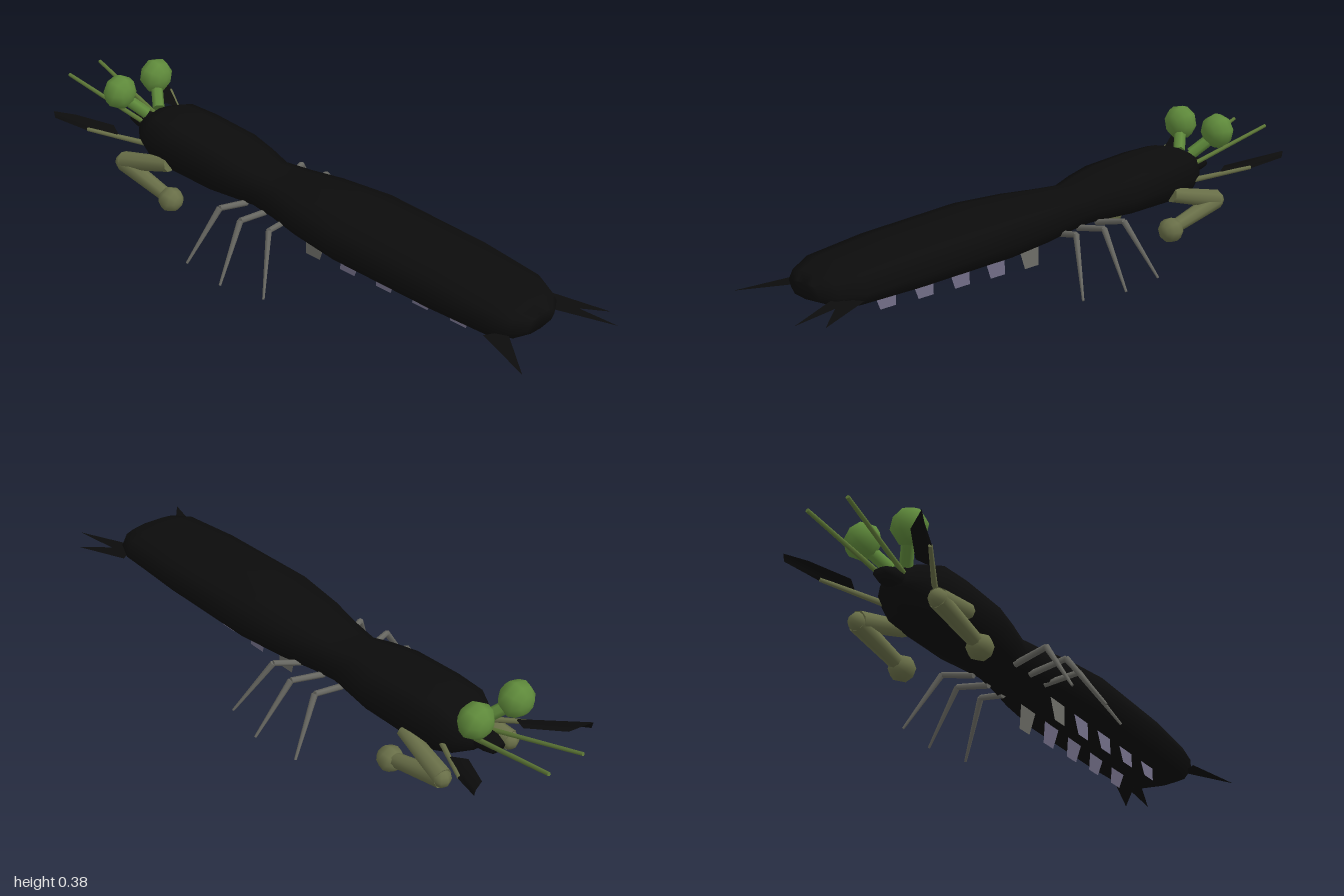
import * as THREE from 'three';

const mat = (name, color, side = THREE.FrontSide) => {
  const m = new THREE.MeshStandardMaterial({ color, side });
  m.name = name;
  return m;
};

export function createModel() {
  const shell = mat('black shell', 0x0c0c0c);
  const blade = mat('black blade', 0x0c0c0c, THREE.DoubleSide);
  const eyeGreen = mat('eye green', 0x5f8a3b);
  const feelerGreen = mat('feeler green', 0x5c7636);
  const olive = mat('claw olive', 0x696f48);
  const grey = mat('leg grey', 0x686862, THREE.DoubleSide);
  const lavender = mat('swimmeret lavender', 0x6c6880, THREE.DoubleSide);

  const group = new THREE.Group();
  const add = (name, geo, material) => {
    const mesh = new THREE.Mesh(geo, material);
    mesh.name = name;
    group.add(mesh);
    return mesh;
  };

  // Tapered rod between two points
  const rod = (name, a, b, ra, rb, material, sides = 6) => {
    const p = new THREE.Vector3(...a), q = new THREE.Vector3(...b);
    const dir = q.clone().sub(p);
    const mesh = add(name, new THREE.CylinderGeometry(rb, ra, dir.length(), sides), material);
    mesh.position.copy(p).add(q).multiplyScalar(0.5);
    mesh.quaternion.setFromUnitVectors(new THREE.Vector3(0, 1, 0), dir.normalize());
    return mesh;
  };

  // Thin flat plate from a fan of corners
  const plate = (name, pts, material) => {
    const geo = new THREE.BufferGeometry();
    geo.setAttribute('position', new THREE.Float32BufferAttribute(pts.flat(), 3));
    const index = [];
    for (let i = 1; i < pts.length - 1; i++) index.push(0, i, i + 1);
    geo.setIndex(index);
    geo.computeVertexNormals();
    return add(name, geo, material);
  };

  // Body loft: stations of [z, half width, bottom, top]
  const loft = (name, stations) => {
    const half = [[0, 1], [0.5, 0.945], [0.82, 0.87], [1, 0.44], [0.76, 0.09]];
    const ring = [...half, [0, 0], ...half.slice(1).reverse().map(([x, y]) => [-x, y])];
    const n = ring.length, pos = [], index = [];
    for (const [z, w, b, t] of stations) {
      for (const [x, y] of ring) pos.push(x * w, b + (t - b) * y, z);
    }
    const last = stations.length - 1;
    for (let s = 0; s < last; s++) {
      for (let i = 0; i < n; i++) {
        const a = s * n + i, b = s * n + (i + 1) % n;
        index.push(a, a + n, b, b, a + n, b + n);
      }
    }
    for (let i = 1; i < n - 1; i++) {
      index.push(0, i, i + 1);
      index.push(last * n, last * n + i + 1, last * n + i);
    }
    // stations run from tail (+z) to head (-z); ring runs clockwise seen from +z
    for (let i = 0; i < index.length; i += 3) {
      [index[i + 1], index[i + 2]] = [index[i + 2], index[i + 1]];
    }
    const geo = new THREE.BufferGeometry();
    geo.setAttribute('position', new THREE.Float32BufferAttribute(pos, 3));
    geo.setIndex(index);
    geo.computeVertexNormals();
    return add(name, geo, shell);
  };

  loft('body', [
    [0.85, 0.06, 0.14, 0.185], [0.82, 0.11, 0.127, 0.205], [0.75, 0.143, 0.115, 0.225],
    [0.55, 0.156, 0.115, 0.243], [0.2, 0.159, 0.12, 0.257], [0.03, 0.135, 0.125, 0.253],
    [-0.08, 0.108, 0.13, 0.247], [-0.17, 0.094, 0.133, 0.242], [-0.24, 0.108, 0.132, 0.258],
    [-0.33, 0.125, 0.13, 0.271], [-0.5, 0.124, 0.13, 0.283], [-0.6, 0.115, 0.134, 0.285],
    [-0.65, 0.088, 0.145, 0.268], [-0.7, 0.045, 0.175, 0.222],
  ]);
  loft('rostrum', [[-0.66, 0.04, 0.18, 0.235], [-0.73, 0.034, 0.185, 0.225], [-0.76, 0.026, 0.19, 0.215]]);

  for (const s of [1, -1]) {
    // Eyes on stalks
    const eye = add('eye', new THREE.SphereGeometry(0.055, 8, 6), eyeGreen);
    eye.scale.set(1, 0.88, 1.02);
    eye.rotation.set(Math.PI / 2, s * 0.15, 0);
    eye.position.set(s * 0.077, 0.323, -0.743);
    rod('eyeStalk', [s * 0.025, 0.25, -0.68], [s * 0.07, 0.305, -0.735], 0.019, 0.019, eyeGreen);

    // Feelers and paddle-shaped antenna scales
    rod('feeler', [s * 0.025, 0.205, -0.65], [s * 0.065, 0.29, -1], 0.008, 0.006, feelerGreen);
    rod('scaleStem', [s * 0.08, 0.185, -0.62], [s * 0.18, 0.214, -0.79], 0.009, 0.006, olive);
    plate('antennaScale', [
      [s * 0.128, 0.205, -0.7], [s * 0.185, 0.213, -0.79], [s * 0.224, 0.235, -0.89],
      [s * 0.224, 0.257, -0.895], [s * 0.165, 0.234, -0.86], [s * 0.105, 0.213, -0.75],
    ], blade);

    // Folded raptorial claws
    rod('clawUpperArm', [s * 0.105, 0.168, -0.5], [s * 0.13, 0.123, -0.68], 0.024, 0.03, olive, 8);
    const elbow = add('clawElbow', new THREE.SphereGeometry(0.029, 8, 6), olive);
    elbow.position.set(s * 0.131, 0.12, -0.678);
    rod('clawForearm', [s * 0.132, 0.118, -0.68], [s * 0.13, 0.072, -0.49], 0.028, 0.022, olive, 8);
    const club = add('clawClub', new THREE.SphereGeometry(0.04, 8, 6), olive);
    club.rotation.x = Math.PI / 2;
    club.position.set(s * 0.129, 0.065, -0.472);

    // Walking legs: [hip z, knee z, foot x, foot z]
    for (const [hz, kz, fx, fz] of [[-0.04, -0.01, 0.268, 0.06], [-0.12, -0.11, 0.302, -0.085], [-0.2, -0.205, 0.284, -0.243]]) {
      const knee = [s * (fx * 0.5 + 0.036), 0.164, kz];
      rod('legUpper', [s * 0.07, 0.138, hz], knee, 0.01, 0.009, grey);
      rod('legLower', knee, [s * fx, 0.003, fz], 0.01, 0.004, grey);
    }

    // Swimmerets in a row under the abdomen
    [0.62, 0.482, 0.345, 0.207, 0.07].forEach((z, i) => {
      const low = 0.072 - i * 0.004;
      plate('swimmeret', [
        [s * 0.051, 0.13, z + 0.04], [s * 0.051, 0.13, z - 0.042],
        [s * 0.061, low, z - 0.034], [s * 0.061, low, z + 0.022],
      ], i === 4 ? grey : lavender);
    });

    // Outer tail spine
    plate('tailSpine', [[s * 0.145, 0.15, 0.765], [s * 0.2, 0.135, 0.94], [s * 0.085, 0.15, 0.8]], blade);
  }

  // Long inner tail spine on the left side
  plate('longTailSpine', [[0.13, 0.152, 0.8], [0.148, 0.142, 1], [0.075, 0.152, 0.81]], blade);

  return group;
}
